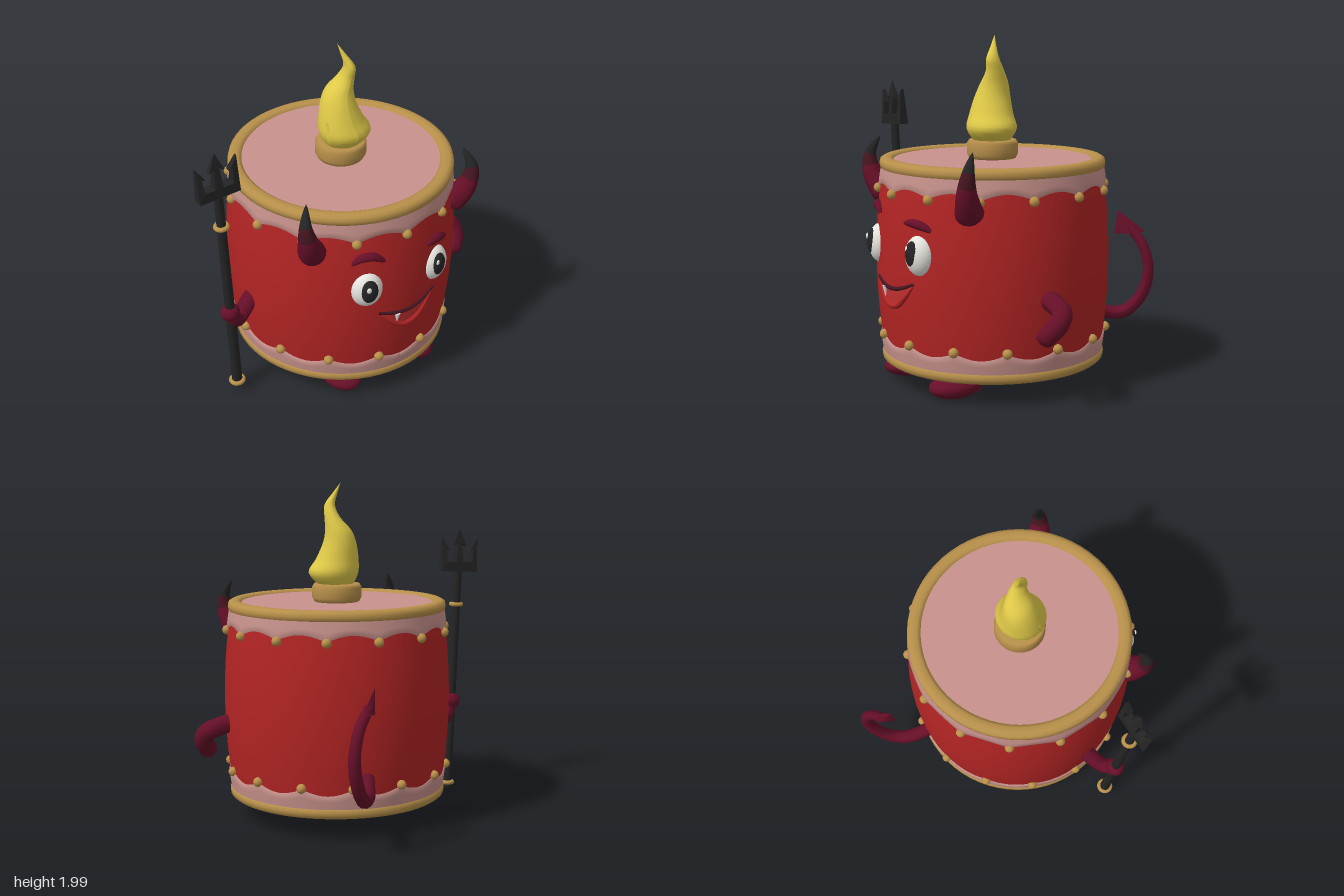
import * as THREE from 'three';

const V = (x, y, z) => new THREE.Vector3(x, y, z);
const CX = 0.07, CZ = 0.145, STUDS = 14;

// Barrel radius at a height, and a point lying on the barrel's front
const barrelR = y => 0.625 + 0.05 * (1 - ((y - 0.725) / 0.585) ** 2);
const onBody = (x, y, out = 0) => V(x, y, CZ + Math.sqrt(barrelR(y) ** 2 - (x - CX) ** 2) + out);

function moveVertices(geo, rule) {
  const p = geo.attributes.position, v = V(0, 0, 0);
  for (let i = 0; i < p.count; i++) {
    rule(v.fromBufferAttribute(p, i), i);
    p.setXYZ(i, v.x, v.y, v.z);
  }
  geo.computeVertexNormals();
  return geo;
}

// Tube along a smooth path whose radius follows r(t)
function taperTube(points, r, segs = 24, sides = 12) {
  const curve = new THREE.CatmullRomCurve3(points);
  const geo = new THREE.TubeGeometry(curve, segs, 1, sides, false);
  return moveVertices(geo, (v, i) => {
    const t = Math.floor(i / (sides + 1)) / segs, c = curve.getPointAt(t);
    v.sub(c).multiplyScalar(Math.max(r(t), 0.0005)).add(c);
  });
}
// Constant radius with a rounded far end
const limb = r => t => r * Math.sqrt(Math.max(0, 1 - Math.max(0, (t - 0.85) / 0.15) ** 2));

export function createModel() {
  const model = new THREE.Group();
  const mat = (name, color) => {
    const m = new THREE.MeshStandardMaterial({ color });
    m.name = name;
    return m;
  };
  const red = mat('drumRed', 0xb32424), pink = mat('skinPink', 0xc8928c), gold = mat('gold', 0xb8904a);
  const maroon = mat('maroon', 0x660f28), black = mat('black', 0x242424), white = mat('white', 0xf0eee8);
  const yellow = mat('flameYellow', 0xe0ca48), lipRed = mat('mouthRed', 0xc23030);
  const hornDark = mat('hornDark', 0x451520);
  pink.side = THREE.DoubleSide;
  const add = (name, geo, material, pos, parent = model) => {
    const m = new THREE.Mesh(geo, material);
    m.name = name;
    if (pos) m.position.copy(pos);
    parent.add(m);
    return m;
  };
  const ball = (name, material, pos, sx, sy, sz, ry = 0) => {
    const m = add(name, new THREE.SphereGeometry(1, 24, 16), material, pos);
    m.scale.set(sx, sy, sz);
    m.rotation.y = ry;
    return m;
  };

  // Drum: barrel, heads, rims, scalloped skins and studs
  const drum = new THREE.Group();
  drum.name = 'drum';
  drum.position.set(CX, 0, CZ);
  model.add(drum);
  const profile = [];
  for (let i = 0; i <= 20; i++) {
    const y = 0.17 + 1.11 * i / 20;
    profile.push(new THREE.Vector2(barrelR(y), y));
  }
  add('barrel', new THREE.LatheGeometry(profile, 72), red, null, drum);
  const studGeo = new THREE.SphereGeometry(0.028, 14, 10);
  for (const top of [true, false]) {
    const side = top ? 'top' : 'bottom';
    const offset = top ? 0 : Math.PI / STUDS;
    const head = add(side + 'Head', new THREE.CircleGeometry(0.6, 64), pink, V(0, top ? 1.298 : 0.152, 0), drum);
    head.rotation.x = top ? -Math.PI / 2 : Math.PI / 2;

    const mid = top ? 1.28 : 0.17;
    const rim = [[0.585, -0.033], [0.63, -0.035], [0.647, -0.022], [0.65, 0], [0.645, 0.022], [0.625, 0.033],
      [0.59, 0.033], [0.57, 0.02], [0.566, 0], [0.57, -0.02], [0.585, -0.033]];
    add(side + 'Rim', new THREE.LatheGeometry(rim.map(p => new THREE.Vector2(p[0], p[1])), 64), gold, V(0, mid, 0), drum);

    // Skin hanging from the rim, pulled to a point at each stud
    const skin = new THREE.CylinderGeometry(1, 1, 1, STUDS * 12, 4, true);
    add(side + 'Skin', moveVertices(skin, v => {
      const a = Math.atan2(v.x, v.z);
      const wave = 0.035 * Math.abs(Math.sin((a - offset) * STUDS / 2));
      const edge = top ? 1.145 + wave : 0.305 - wave;
      const k = top ? 0.5 - v.y : 0.5 + v.y;
      const y = mid + (edge - mid) * Math.min(1, k / 0.75);
      const r = barrelR(y) + (k > 0.9 ? -0.006 : 0.01);
      v.set(Math.sin(a) * r, y, Math.cos(a) * r);
    }), pink, null, drum);

    for (let i = 0; i < STUDS; i++) {
      const a = offset + i * Math.PI * 2 / STUDS, y = top ? 1.138 : 0.312, r = barrelR(y) + 0.008;
      add('stud', studGeo, gold, V(Math.sin(a) * r, y, Math.cos(a) * r), drum);
    }
  }

  // Flame holder
  const holder = [[0.12, 1.29], [0.135, 1.3], [0.148, 1.325], [0.148, 1.385], [0.135, 1.405], [0, 1.405]];
  add('flameHolder', new THREE.LatheGeometry(holder.map(p => new THREE.Vector2(p[0], p[1])), 32), gold, null, drum);

  // Flame: oval sections [y, centre x, centre z, half width, half depth]
  const rows = [[1.38, 0.07, 0.15, 0.09, 0.09], [1.47, 0.085, 0.16, 0.15, 0.143], [1.55, 0.065, 0.15, 0.128, 0.127],
    [1.65, 0.055, 0.135, 0.098, 0.105], [1.72, 0.065, 0.13, 0.078, 0.085], [1.8, 0.098, 0.145, 0.045, 0.055],
    [1.87, 0.106, 0.165, 0.03, 0.04], [1.94, 0.08, 0.143, 0.014, 0.017], [2, 0.055, 0.12, 0.0005, 0.0005]];
  const centre = new THREE.CatmullRomCurve3(rows.map(r => V(r[1], r[0], r[2])));
  const size = new THREE.CatmullRomCurve3(rows.map(r => V(r[3], r[0], r[4])));
  const N = 32, unit = [];
  for (let i = 0; i <= N; i++) unit.push(new THREE.Vector2(1, i));
  add('flame', moveVertices(new THREE.LatheGeometry(unit, 24), v => {
    const t = v.y / N, c = centre.getPoint(t), s = size.getPoint(t);
    v.set(c.x + v.x * s.x, c.y, c.z + v.z * s.z);
  }), yellow);
  add('flameTongue', taperTube([V(0.03, 1.41, 0.19), V(-0.03, 1.46, 0.2), V(-0.045, 1.52, 0.2), V(-0.062, 1.58, 0.19)],
    t => 0.045 * (1 - t)), yellow);

  // Horns, eyes and feet in mirrored pairs
  for (const s of [-1, 1]) {
    const X = d => CX + s * d;
    const horn = taperTube([V(X(0.45), 1.05, 0.57), V(X(0.495), 1.1, 0.61), V(X(0.54), 1.2, 0.65),
      V(X(0.555), 1.3, 0.65), V(X(0.52), 1.41, 0.6)], t => 0.088 * Math.pow(1 - t, 0.75) * Math.min(1, 0.5 + t * 4), 24, 16);
    const perSeg = 16 * 6;
    horn.addGroup(0, 13 * perSeg, 0);
    horn.addGroup(13 * perSeg, 4 * perSeg, 1);
    horn.addGroup(17 * perSeg, 7 * perSeg, 2);
    add('horn', horn, [maroon, hornDark, black]);

    const yaw = s * 0.3;
    ball('eye', white, V(X(0.228), 0.828, 0.757), 0.092, 0.114, 0.072, yaw);
    const px = s < 0 ? -0.17 : 0.3;
    ball('pupil', black, V(px, 0.838, 0.8), 0.054, 0.076, 0.036, yaw);
    ball('eyeGlint', white, V(px - 0.018, 0.868, 0.829), 0.014, 0.018, 0.007, yaw);

    ball('foot', maroon, V(X(0.263), 0.072, 0.565), 0.114, 0.065, 0.155);
    add('ankle', new THREE.CylinderGeometry(0.05, 0.06, 0.13, 16), maroon, V(X(0.25), 0.095, 0.455));
  }

  // Brows
  const brow = t => 0.026 * Math.pow(Math.sin(Math.PI * (0.04 + 0.92 * t)), 0.6);
  for (const pts of [[[-0.245, 1.01], [-0.2, 1.045], [-0.14, 1.05], [-0.07, 1.01]],
    [[0.21, 1.0], [0.26, 1.005], [0.33, 0.995], [0.39, 0.97]]])
    add('brow', taperTube(pts.map(p => onBody(p[0], p[1], 0.008)), brow), maroon);

  // Mouth: curved patch, lips and a tooth
  const topLip = u => 0.65 - 0.045 * Math.sin(Math.PI * u) + 0.02 * u;
  const lowLip = u => topLip(u) - 0.1 * Math.sin(Math.PI * u);
  const mx = u => -0.1 + 0.385 * u;
  add('mouth', moveVertices(new THREE.PlaneGeometry(1, 1, 20, 6), v => {
    const u = v.x + 0.5, k = v.y + 0.5;
    v.copy(onBody(mx(u), lowLip(u) + (topLip(u) - lowLip(u)) * k, 0.006));
  }), lipRed);
  const lipPath = f => [0, 0.2, 0.4, 0.6, 0.8, 1].map(u => onBody(mx(u), f(u), 0.003));
  add('upperLip', taperTube(lipPath(topLip), t => 0.008 + 0.004 * Math.sin(Math.PI * t)), hornDark);
  add('lowerLip', taperTube(lipPath(lowLip), t => 0.004 + 0.014 * Math.sin(Math.PI * t)), red);
  const tooth = add('tooth', new THREE.ConeGeometry(0.018, 0.065, 10), white, onBody(0.015, 0.585, 0.008));
  tooth.rotation.x = Math.PI;

  // Arms and hands
  add('rightArm', taperTube([V(-0.54, 0.6, 0.19), V(-0.62, 0.55, 0.22), V(-0.7, 0.505, 0.26), V(-0.745, 0.54, 0.29),
    V(-0.765, 0.6, 0.3)], t => 0.052 - 0.01 * t), maroon);
  ball('rightHand', maroon, V(-0.77, 0.605, 0.295), 0.057, 0.052, 0.055);
  add('leftArm', taperTube([V(0.7, 0.6, 0.205), V(0.8, 0.575, 0.205), V(0.865, 0.545, 0.215), V(0.875, 0.49, 0.25),
    V(0.84, 0.43, 0.295), V(0.815, 0.385, 0.32)], limb(0.056)), maroon);

  // Tail and its spade tip
  add('tail', taperTube([V(0.13, 0.37, -0.48), V(0.18, 0.3, -0.62), V(0.24, 0.305, -0.71), V(0.31, 0.42, -0.79),
    V(0.335, 0.58, -0.815), V(0.3, 0.72, -0.795), V(0.225, 0.83, -0.75)], t => 0.045 - 0.017 * t, 36), maroon);
  const spade = new THREE.ConeGeometry(1, 1, 4);
  spade.applyMatrix4(new THREE.Matrix4().makeBasis(V(0.065, 0.01, -0.07), V(-0.055, 0.135, 0.05), V(0.025, 0, 0.023)));
  spade.computeVertexNormals();
  const tip = add('tailTip', spade, maroon, V(0.2, 0.858, -0.727));
  tip.scale.setScalar(1);

  // Trident, leaning slightly
  const trident = new THREE.Group();
  trident.name = 'trident';
  trident.position.set(-0.74, 0.04, 0.287);
  trident.rotation.set(0.016, 0, 0.053);
  model.add(trident);
  add('shaft', new THREE.CylinderGeometry(0.025, 0.031, 1.4, 16), black, V(0, 0.7, 0), trident);
  for (const [y, r] of [[0.03, 0.036], [1.185, 0.032]]) {
    const ring = add('shaftRing', new THREE.TorusGeometry(r, 0.014, 10, 24), gold, V(0, y, 0), trident);
    ring.rotation.x = Math.PI / 2;
  }
  const half = [[0.122, 1.395], [0.122, 1.61], [0.07, 1.53], [0.092, 1.54], [0.085, 1.455], [0.024, 1.455],
    [0.016, 1.57], [0.046, 1.555]];
  const outline = [...half, [0, 1.665], ...half.map(p => [-p[0], p[1]]).reverse()];
  const fork = new THREE.ExtrudeGeometry(new THREE.Shape(outline.map(p => new THREE.Vector2(p[0], p[1]))),
    { depth: 0.06, bevelEnabled: false });
  add('fork', moveVertices(fork, v => {
    v.z = (v.z - 0.03) * Math.min(1, (1.68 - v.y) / 0.23);
  }), black, null, trident);

  return model;
}
